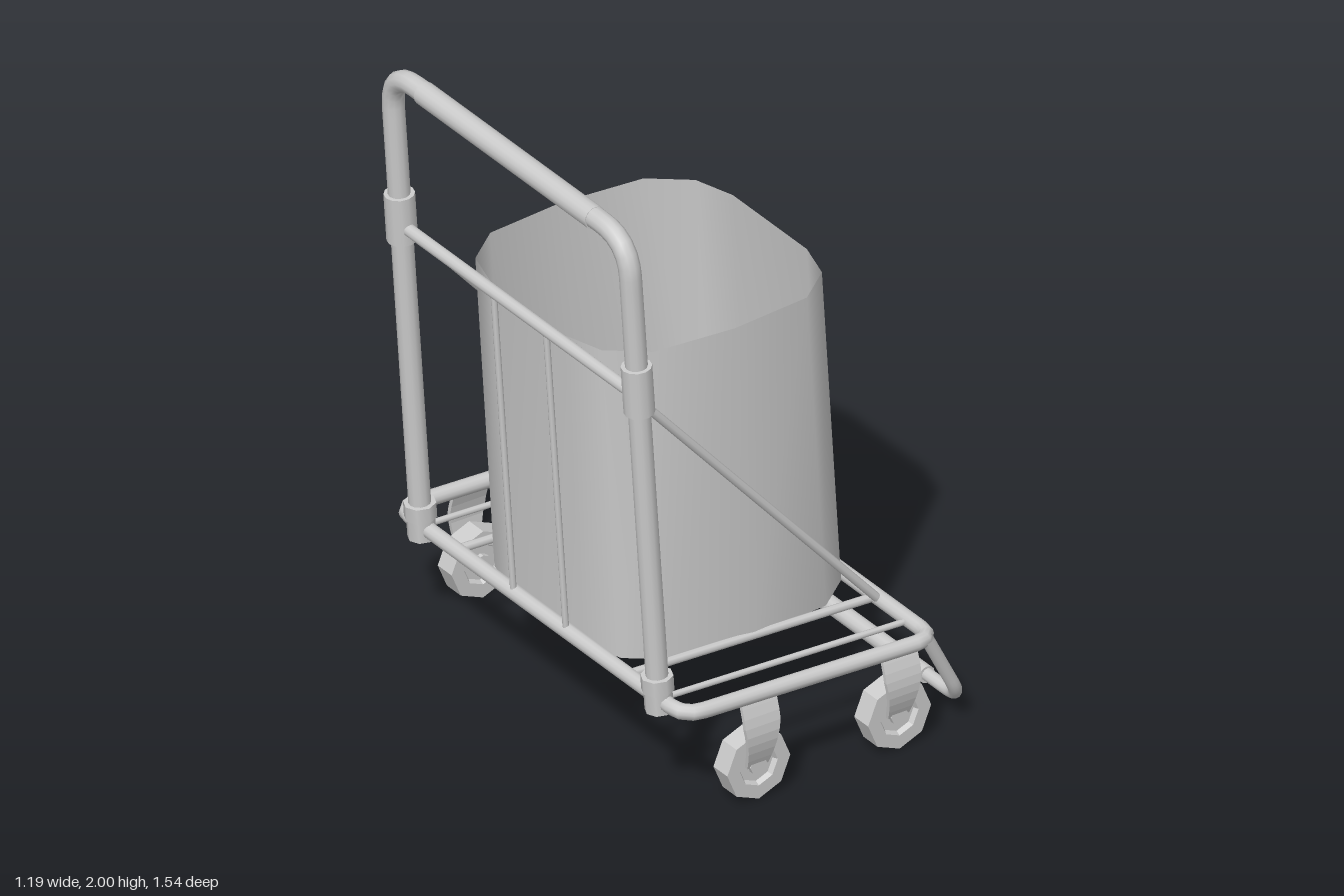
import * as THREE from 'three';

const V = (x, y, z) => new THREE.Vector3(x, y, z);
const smooth = new THREE.MeshStandardMaterial({ color: 0xcccccc });
const thin = new THREE.MeshStandardMaterial({ color: 0xcccccc, side: THREE.DoubleSide });
const flat = new THREE.MeshStandardMaterial({ color: 0xcccccc, flatShading: true });

// Points on the leaning back plane and on the sloping deck
const backX = (y) => -0.455 - 0.068 * (y - 0.35);
const deckY = (x) => 0.347 - 0.038 * x;

export function createModel() {
  const group = new THREE.Group();

  function add(name, geometry, material = smooth) {
    const mesh = new THREE.Mesh(geometry, material);
    mesh.name = name;
    group.add(mesh);
    return mesh;
  }

  // Straight round bar between two points
  function rod(name, a, b, r, sides = 12) {
    const mesh = add(name, new THREE.CylinderGeometry(r, r, a.distanceTo(b), sides));
    mesh.position.copy(a).add(b).multiplyScalar(0.5);
    mesh.quaternion.setFromUnitVectors(V(0, 1, 0), b.clone().sub(a).normalize());
    return mesh;
  }

  // Bent tube through corner points, each corner rounded by the bend size
  function bentTube(name, pts, r, bend, closed = false) {
    const path = new THREE.CurvePath();
    const n = pts.length;
    const toward = (a, b) => a.clone().add(b.clone().sub(a).setLength(bend));
    let last = closed ? toward(pts[0], pts[1]) : pts[0];
    for (let i = 1; i < (closed ? n + 1 : n - 1); i++) {
      const p = pts[i % n];
      const before = toward(p, pts[i - 1]);
      const after = toward(p, pts[(i + 1) % n]);
      path.add(new THREE.LineCurve3(last, before));
      path.add(new THREE.QuadraticBezierCurve3(before, p, after));
      last = after;
    }
    if (!closed) path.add(new THREE.LineCurve3(last, pts[n - 1]));
    return add(name, new THREE.TubeGeometry(path, 128, r, 12, closed), thin);
  }

  // Push handle with grip
  const onBack = (y, z) => V(backX(y), y, z);
  bentTube('handle', [onBack(0.34, 0.61), onBack(1.965, 0.61), onBack(1.965, -0.61), onBack(0.34, -0.61)], 0.034, 0.13);
  rod('handleGrip', onBack(1.963, 0.44), onBack(1.963, -0.44), 0.037, 16);
  rod('backCrossbar', onBack(1.42, 0.61), onBack(1.42, -0.61), 0.02);

  // Deck frame
  const onDeck = (x, z) => V(x, deckY(x), z);
  bentTube('deckFrame', [onDeck(-0.45, 0.735), onDeck(0.445, 0.735), onDeck(0.445, -0.735), onDeck(-0.45, -0.735)], 0.025, 0.07, true);

  // Front bumper with grip
  bentTube('frontBumper', [V(0.42, 0.335, 0.735), V(0.565, 0.065, 0.71), V(0.565, 0.065, -0.71), V(0.42, 0.335, -0.735)], 0.021, 0.1);
  rod('bumperGrip', V(0.563, 0.065, 0.53), V(0.563, 0.065, -0.53), 0.028);

  for (const s of [1, -1]) {
    // Upright sleeves and foot sockets
    rod('uprightSleeve', onBack(1.37, s * 0.61), onBack(1.53, s * 0.61), 0.047);
    rod('footSocket', onBack(0.33, s * 0.61), onBack(0.43, s * 0.61), 0.044, 8);
    rod('socketCollar', onBack(0.4, s * 0.61), onBack(0.45, s * 0.61), 0.05, 8);

    // Deck rails, diagonal braces and back rods
    rod('deckRail', onDeck(-0.45, s * 0.44), onDeck(0.44, s * 0.44), 0.014, 8);
    rod('outerDeckRail', onDeck(-0.45, s * 0.61), onDeck(0.44, s * 0.61), 0.01, 8);
    rod('diagonalBrace', V(-0.51, 1.4, s * 0.465), V(0.435, 0.335, s * 0.465), 0.014, 8);
    rod('backRod', onBack(0.36, s * 0.135), onBack(1.42, s * 0.135), 0.01, 8);

    for (const x of [-0.19, 0.315]) addCaster(x, s);
  }

  // Caster: eight-sided wheel, hub and a bowed arm on the outside
  function addCaster(x, s) {
    const profile = [[0, -0.02], [0.06, -0.02], [0.068, -0.036], [0.113, -0.036],
      [0.113, 0.036], [0.068, 0.036], [0.06, 0.02], [0, 0.02]];
    const wheel = add('wheel', new THREE.LatheGeometry(profile.map(([a, b]) => new THREE.Vector2(a, b)), 8), flat);
    wheel.rotation.x = Math.PI / 2;
    wheel.position.set(x, 0.113, s * 0.709);
    const hub = add('wheelHub', new THREE.CylinderGeometry(0.03, 0.03, 0.072, 8), flat);
    hub.rotation.x = Math.PI / 2;
    hub.position.copy(wheel.position);

    const arm = new THREE.BoxGeometry(1, 1, 0.014, 1, 8, 1);
    const p = arm.attributes.position;
    for (let i = 0; i < p.count; i++) {
      const t = p.getY(i) + 0.5; // 0 at the hub, 1 at the deck
      const width = 0.075 + 0.05 * Math.min(1, t * 1.6);
      const bow = 0.733 + 0.03 * Math.sin(Math.PI * t);
      p.setXYZ(i, x + p.getX(i) * width, 0.11 + t * (deckY(x) - 0.11), s * bow + p.getZ(i));
    }
    add('casterArm', arm, flat);
  }

  // Bin: one rounded section, leaning back from floor to open rim
  const quarter = [[0.435, 0.19], [0.395, 0.325], [0.275, 0.42], [0, 0.445]];
  const half = [...quarter, ...quarter.slice(0, 3).reverse().map(([x, z]) => [-x, z])];
  const ring = [...half, ...half.filter(([x, z]) => x !== 0).reverse().map(([x, z]) => [x, -z])];
  ring.splice(ring.length - 3, 0, [0, -0.445]);
  const verts = [], index = [], n = ring.length;
  for (const [y, cx] of [[0.345, 0.003], [1.42, -0.066]]) {
    for (const [x, z] of ring) verts.push(cx + x, y, z);
  }
  for (let i = 0; i < n; i++) {
    const j = (i + 1) % n;
    index.push(i, n + i, j, j, n + i, n + j);
  }
  const wall = new THREE.BufferGeometry();
  wall.setAttribute('position', new THREE.Float32BufferAttribute(verts, 3));
  wall.setIndex(index);
  wall.computeVertexNormals();
  add('binWall', wall, thin);

  const floor = new THREE.ShapeGeometry(new THREE.Shape(ring.map(([x, z]) => new THREE.Vector2(x, z))));
  const floorMesh = add('binFloor', floor, thin);
  floorMesh.rotation.x = Math.PI / 2;
  floorMesh.position.set(0.003, 0.347, 0);

  return group;
}
